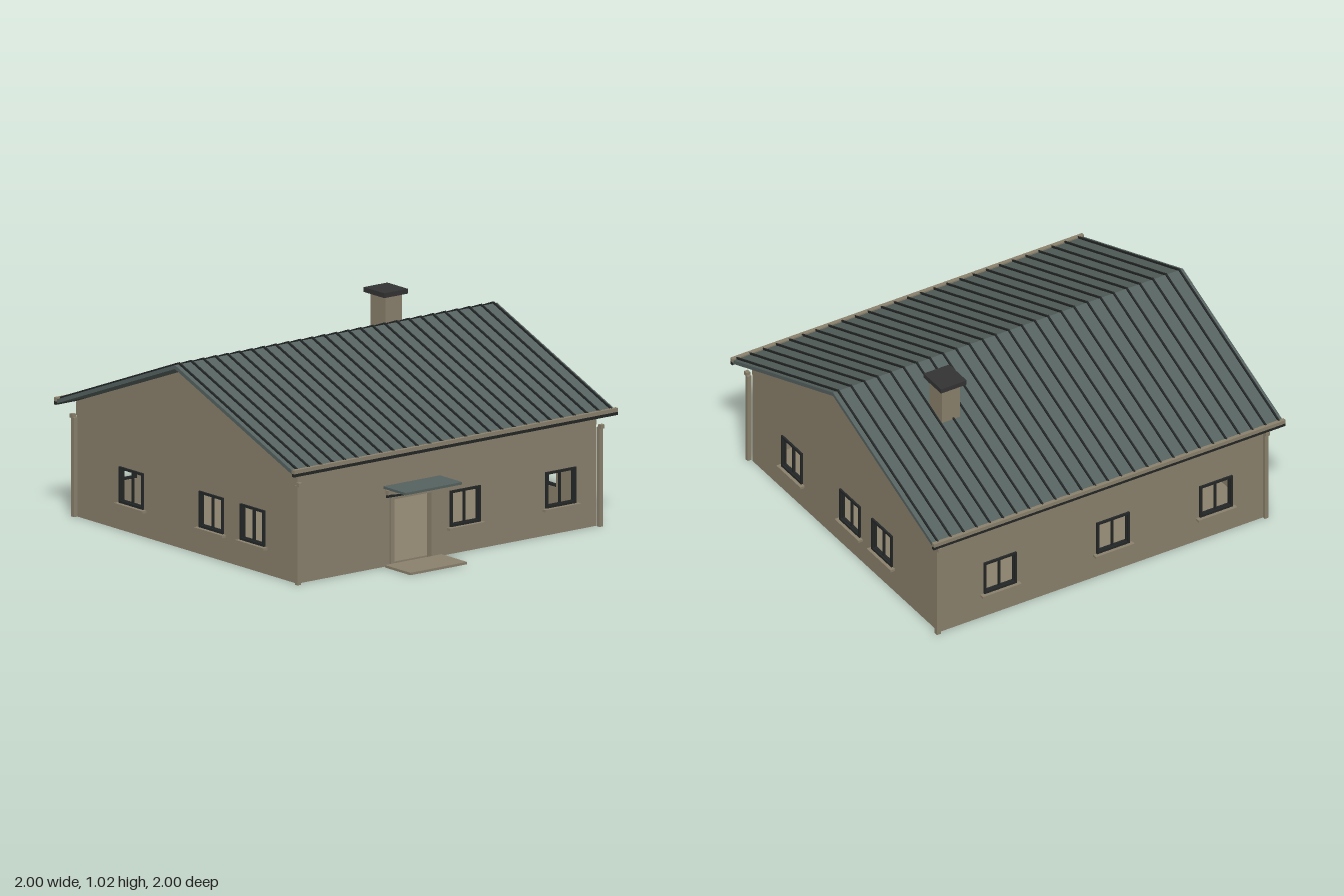
import * as THREE from 'three';

const flat = (name, color) => {
  const m = new THREE.MeshStandardMaterial({ color });
  m.name = name;
  return m;
};

export function createModel() {
  const house = new THREE.Group();
  house.name = 'house';
  const render = flat('wall render', 0x8a806c);
  const metal = flat('roof metal', 0x55625f);
  const dark = flat('dark trim', 0x242727);
  const capMat = flat('chimney cap', 0x333334);

  // Main dimensions
  const X = 0.922, ZF = 0.79, ZB = -0.92, H = 0.575, T = 0.02, RIDGE_Z = -0.067;

  const add = (name, geo, mat, parent = house) => {
    const m = new THREE.Mesh(geo, mat);
    m.name = name;
    parent.add(m);
    return m;
  };
  // Box given by its limits on each axis
  const box = (name, mat, [x0, x1], [y0, y1], [z0, z1], parent = house) => {
    const m = add(name, new THREE.BoxGeometry(x1 - x0, y1 - y0, z1 - z0), mat, parent);
    m.position.set((x0 + x1) / 2, (y0 + y1) / 2, (z0 + z1) / 2);
    return m;
  };
  const polygon = pts => new THREE.Shape(pts.map(p => new THREE.Vector2(...p)));
  const extrude = (shape, depth) => new THREE.ExtrudeGeometry(shape, { depth, bevelEnabled: false });

  // Walls with window openings
  const WIN = { y: 0.226, h: 0.087 };
  const wallShape = (a, b, centres, door) => {
    const pts = [[a, 0]];
    if (door) pts.push([door[0], 0], [door[0], door[2]], [door[1], door[2]], [door[1], 0]);
    pts.push([b, 0], [b, H], [a, H]);
    const s = polygon(pts);
    for (const c of centres) {
      const { y, h } = WIN;
      s.holes.push(new THREE.Path([[c - h, y - h], [c - h, y + h], [c + h, y + h], [c + h, y - h]]
        .map(p => new THREE.Vector2(...p))));
    }
    return s;
  };
  const windows = {
    front: [0.112, 0.702],
    back: [0.577, -0.065, -0.65],
    right: [0.42, -0.113, -0.407],
    left: [0.45, 0.13, -0.49],
  };
  const DOOR = [-0.335, -0.1, 0.335];
  add('frontWall', extrude(wallShape(-X, X, windows.front, DOOR), T), render).position.z = ZF - T;
  add('backWall', extrude(wallShape(-X, X, windows.back), T), render).position.z = ZB;
  const gable = polygon([[ZB, H], [ZF, H], [RIDGE_Z, 0.897]]);
  for (const [side, x] of [['right', X], ['left', -X + T]]) {
    const wall = add(side + 'Wall', extrude(wallShape(ZB + T, ZF - T, windows[side]), T), render);
    const top = add(side + 'Gable', extrude(gable, T), render);
    for (const m of [wall, top]) {
      m.rotation.y = -Math.PI / 2;
      m.position.x = x;
    }
  }
  box('floor', render, [-X + T, X - T], [0, 0.01], [ZB + T, ZF - T]);

  // Window: outer frame, two sashes and a sill, facing +z
  const makeWindow = () => {
    const g = new THREE.Group();
    g.name = 'window';
    const ring = (w, h, t) => {
      const s = polygon([[-w, -h], [w, -h], [w, h], [-w, h]]);
      s.holes.push(new THREE.Path([[-w + t, -h + t], [-w + t, h - t], [w - t, h - t], [w - t, -h + t]]
        .map(p => new THREE.Vector2(...p))));
      return s;
    };
    add('windowFrame', extrude(ring(0.093, 0.09, 0.012), 0.026), dark, g).position.z = -0.016;
    for (const s of [-1, 1])
      add('windowSash', extrude(ring(0.041, 0.08, 0.005), 0.012), dark, g).position.set(s * 0.041, 0, -0.012);
    box('windowSill', render, [-0.11, 0.11], [-0.104, -0.092], [-0.01, 0.025], g);
    return g;
  };
  const place = {
    front: c => [c, ZF, 0],
    back: c => [c, ZB, Math.PI],
    right: c => [X, c, Math.PI / 2],
    left: c => [-X, c, -Math.PI / 2],
  };
  for (const side in windows)
    for (const c of windows[side]) {
      const w = makeWindow();
      const [x, z, turn] = place[side](c);
      w.position.set(x, WIN.y, z);
      w.rotation.y = turn;
      w.name = side + 'Window';
      house.add(w);
    }

  // Roof: two sloping slabs with standing seams, gutters along the eaves
  const RUN = 0.925, TOP = 0.932, EAVE = 0.578, SEAMS = 27;
  const slope = (y0, y1) => polygon([
    [0, TOP + y0], [RUN, EAVE + y0], [RUN, EAVE + y1], [0, TOP + y1]]);
  for (const s of [1, -1]) {
    const half = new THREE.Group();
    half.name = s > 0 ? 'frontRoof' : 'backRoof';
    half.position.z = RIDGE_Z;
    half.rotation.y = s > 0 ? 0 : Math.PI;
    house.add(half);
    const slab = add('roofSlab', extrude(slope(-0.02, 0), 1.99), metal, half);
    slab.rotation.y = -Math.PI / 2;
    slab.position.x = 0.995;
    const seamGeo = extrude(slope(-0.002, 0.01), 0.008);
    for (let i = 0; i < SEAMS; i++) {
      const seam = add('roofSeam', seamGeo, dark, half);
      seam.rotation.y = -Math.PI / 2;
      seam.position.x = -0.968 + (i * 1.94) / (SEAMS - 1) + 0.004;
    }
    box('gutter', render, [-1, 1], [0.571, 0.59], [0.913, 0.933], half);
    box('fascia', dark, [-1, 1], [0.555, 0.571], [0.915, 0.931], half);
  }

  // Trim under the eaves and corner downpipes
  for (const [end, z, s] of [['front', ZF, 1], ['back', ZB, -1]]) {
    const span = (a, b) => [Math.min(z + s * a, z + s * b), Math.max(z + s * a, z + s * b)];
    box(end + 'EaveTrim', render, [-X, X], [0.505, 0.57], span(-0.005, 0.004));
    const out = s > 0 ? 0.03 : 0.016;
    for (const sx of [-1, 1]) {
      const x = sx * 0.932;
      box(end + 'Downpipe', render, [x - 0.011, x + 0.011], [0, 0.495], span(out - 0.022, out));
      box(end + 'DownpipeHead', render, [x - 0.011, x + 0.011], [0.49, 0.51], span(out - 0.01, out + 0.012));
    }
  }

  // Chimney
  box('chimney', render, [0.483, 0.585], [0.76, 1.0], [-0.405, -0.29]);
  box('chimneyCap', capMat, [0.46, 0.606], [0.998, 1.022], [-0.43, -0.27]);

  // Entrance: step, door surround and bracketed canopy
  box('doorStep', render, [-0.39, -0.04], [0, 0.012], [ZF + 0.012, 1]);
  for (const x of [-0.342, -0.092])
    box('doorJamb', render, [x - 0.011, x + 0.011], [0, 0.34], [ZF - T, ZF + 0.012]);
  box('doorLintel', render, [-0.353, -0.081], [0.33, 0.35], [ZF - T, ZF + 0.012]);
  box('canopyBeam', render, [-0.375, -0.055], [0.358, 0.38], [ZF, ZF + 0.02]);
  box('canopy', metal, [-0.39, -0.04], [0.39, 0.402], [ZF, 0.962]);
  const bracket = extrude(polygon([[ZF, 0.34], [0.94, 0.385], [0.94, 0.392], [ZF, 0.354]]), 0.012);
  for (const x of [-0.36, -0.058]) {
    const b = add('canopyBracket', bracket, dark, house);
    b.rotation.y = -Math.PI / 2;
    b.position.x = x;
  }
  return house;
}
